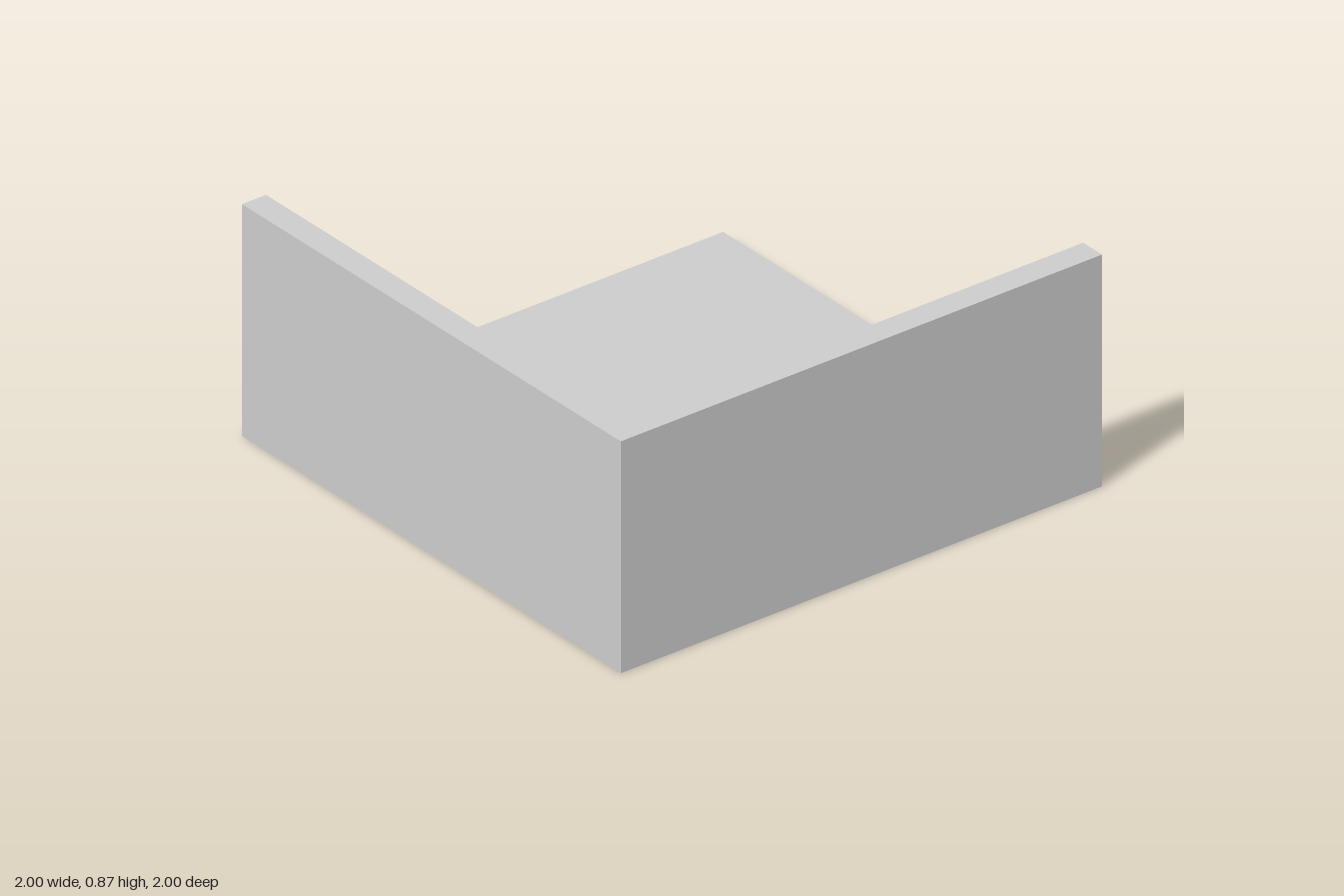
import * as THREE from 'three';

// Cross-section as [inset from the outer wall face, height]
const PROFILE = [[0, 0], [0, 0.87], [0.1, 0.87], [0.1, 0.185], [0.215, 0.065], [2, 0.065], [2, 0]];
const NAMES = ['outerWalls', 'wallTops', 'innerWalls', 'cornerFillet', 'floorTop', 'floorEdge', 'underside'];

// Mitred path: along the front wall, round the corner, along the left wall
const stations = ([d, y]) => [[-1, y, 1 - d], [1 - d, y, 1 - d], [1 - d, y, -1]];

// Strip between two profile points swept along the path
function sweep(p, q) {
  const a = stations(p), b = stations(q), pos = [];
  for (let i = 0; i < 2; i++) {
    for (const tri of [[a[i], a[i + 1], b[i + 1]], [a[i], b[i + 1], b[i]]]) {
      const t = new THREE.Triangle(...tri.map(v => new THREE.Vector3(...v)));
      if (t.getArea() > 1e-6) pos.push(...tri.flat()); // skip collapsed triangles
    }
  }
  const geo = new THREE.BufferGeometry();
  geo.setAttribute('position', new THREE.Float32BufferAttribute(pos, 3));
  geo.computeVertexNormals();
  return geo;
}

export function createModel() {
  const group = new THREE.Group();
  const grey = new THREE.MeshStandardMaterial({ color: 0xcccccc, flatShading: true });
  const orange = new THREE.MeshStandardMaterial({ color: 0xff8020, flatShading: true });
  const add = (name, geo, mat = grey) => {
    const mesh = new THREE.Mesh(geo, mat);
    mesh.name = name;
    group.add(mesh);
  };

  // Walls, sloped fillet and floor
  PROFILE.forEach((p, i) => {
    if (NAMES[i] === 'floorEdge') return; // collapses to a line at the far corner
    const q = PROFILE[(i + 1) % PROFILE.length];
    add(NAMES[i], sweep(p, q), NAMES[i] === 'cornerFillet' ? orange : grey);
  });

  // Flat end faces showing the whole cross-section
  const section = s => new THREE.ShapeGeometry(
    new THREE.Shape(PROFILE.map(([d, y]) => new THREE.Vector2(s * d, y))));
  add('backEnd', section(1).rotateY(Math.PI).translate(1, 0, -1));
  add('rightEnd', section(-1).rotateY(-Math.PI / 2).translate(-1, 0, 1));
  return group;
}
